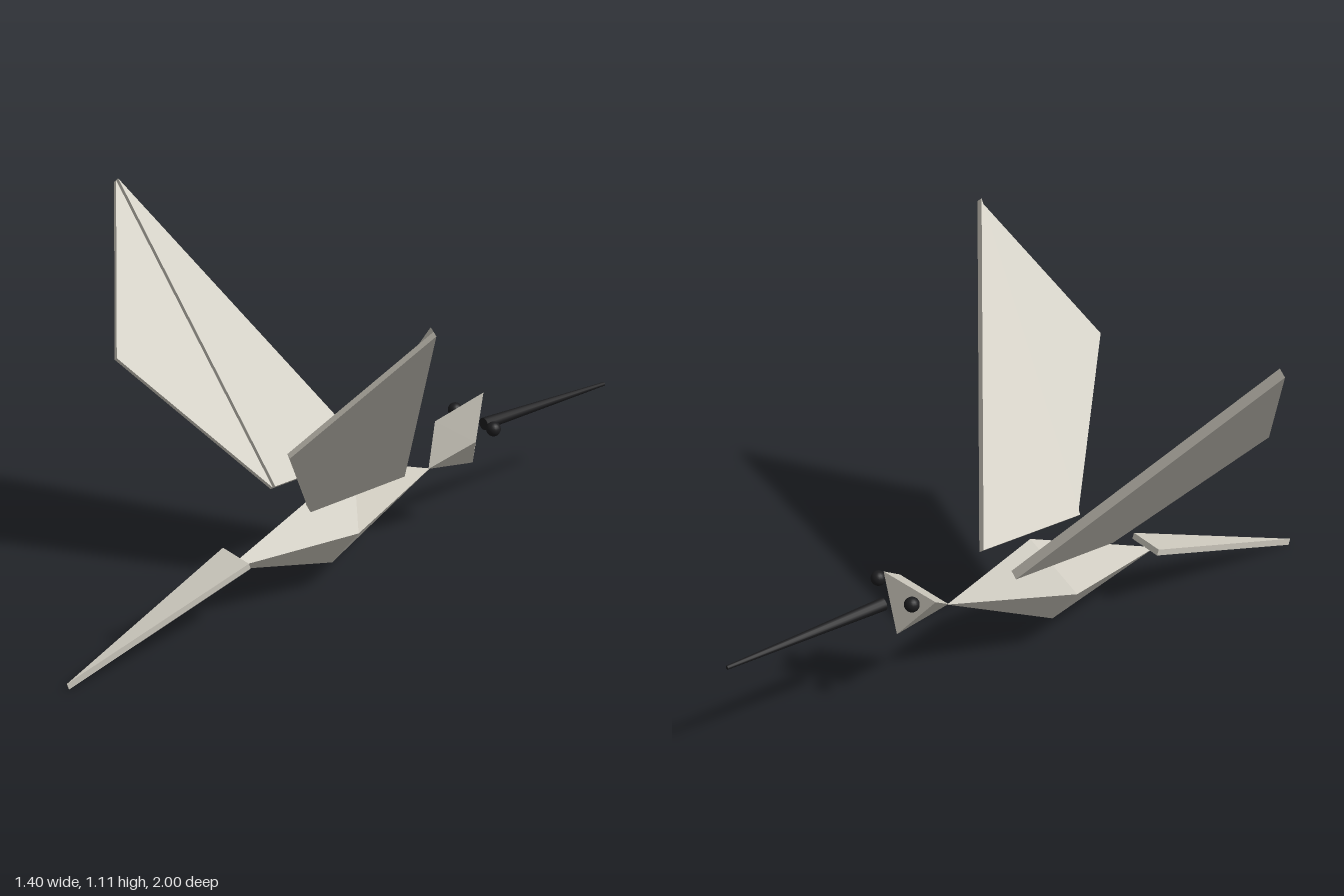
import * as THREE from 'three';
import { ConvexGeometry } from 'three/addons/geometries/ConvexGeometry.js';

export function createModel() {
  const model = new THREE.Group();
  model.name = 'foldedPaperBird';

  const paper = new THREE.MeshStandardMaterial({ color: 0xcdc9be });
  paper.name = 'paperGrey';
  paper.flatShading = true;
  const black = new THREE.MeshStandardMaterial({ color: 0x1c1c1e });
  black.name = 'black';

  const add = (name, geometry, material, parent = model) => {
    const mesh = new THREE.Mesh(geometry, material);
    mesh.name = name;
    parent.add(mesh);
    return mesh;
  };
  // Faceted solid spanned by a few corner points
  const facets = (points) => new ConvexGeometry(points.map((p) => new THREE.Vector3(...p)));

  // Body: stretched eight-faced diamond
  add('body', facets([
    [0, 0.255, -0.29], [0, 0.18, 0.46],
    [0.12, 0.215, 0.08], [-0.12, 0.215, 0.08],
    [0, 0.37, 0], [0, 0.07, 0.08],
  ]), paper);

  // Head: flat kite on top with a keel below
  add('head', facets([
    [0, 0.255, -0.285], [0, 0.44, -0.497], [0, 0.22, -0.46],
    [0.09, 0.345, -0.387], [-0.09, 0.345, -0.387],
  ]), paper);

  // Tail: thin tapering blade
  add('tail', facets([
    [0.06, 0.213, 0.425], [-0.06, 0.213, 0.425], [0, 0.02, 1],
    [0.06, 0.195, 0.419], [-0.06, 0.195, 0.419], [0, 0, 0.994],
  ]), paper);

  // Bill: slim taper pointing along -z
  const bill = add('bill', new THREE.CylinderGeometry(0.006, 0.019, 0.5, 12), black);
  bill.rotation.x = -Math.PI / 2 - 0.034;
  bill.position.set(0, 0.327, -0.75);

  // Wings: two folded triangles lying in a tilted plane
  const along = new THREE.Vector2(0.621, 0.784); // root to tip, in x and y
  for (const side of [1, -1]) {
    const wing = new THREE.Group();
    wing.name = side > 0 ? 'leftWing' : 'rightWing';
    model.add(wing);

    // Points are [distance from root, z]; inner and outer are offsets across the sheet
    const sheet = (points, inner, outer) => facets(points.flatMap(([s, z]) =>
      [inner, outer].map((t) => [
        side * (0.08 + s * along.x + t * along.y),
        0.33 + s * along.y - t * along.x,
        z,
      ])));
    add('wingFrontPanel', sheet([[0, -0.115], [0, 0.23], [0.982, 0.31]], -0.014, 0.014), paper, wing);
    add('wingRearPanel', sheet([[0, 0.23], [0.491, 0.537], [0.982, 0.31]], 0, 0.014), paper, wing);

    // Eyes: small beads beside the head
    const eye = add(side > 0 ? 'leftEye' : 'rightEye', new THREE.SphereGeometry(0.022, 16, 12), black);
    eye.position.set(side * 0.085, 0.363, -0.462);
  }

  return model;
}
